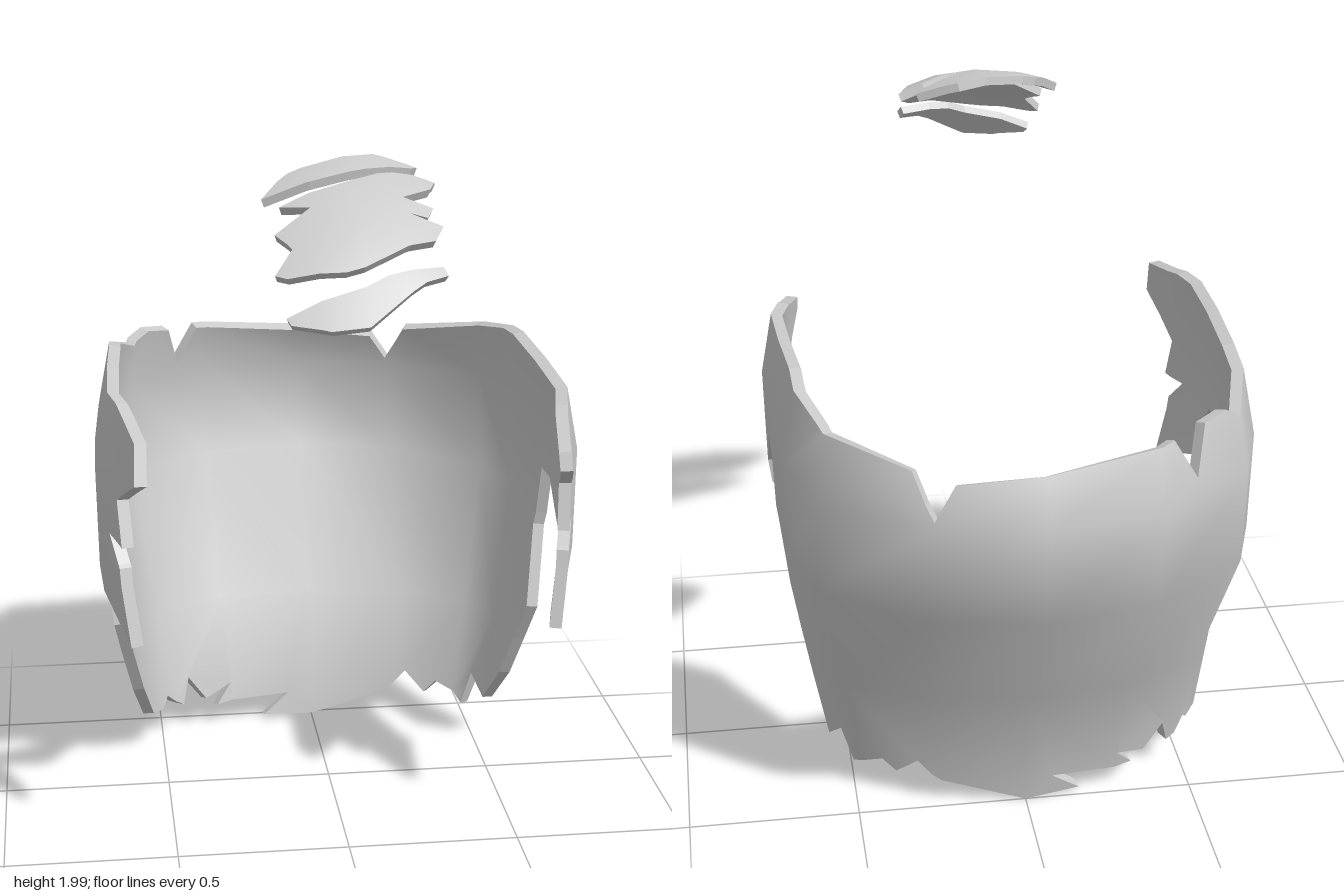
import * as THREE from 'three';

const material = new THREE.MeshStandardMaterial({ color: 0xcccccc });
const lerp = THREE.MathUtils.lerp;

// Keep the part of a polygon on one side of a grid line (axis 0 = u, 1 = v)
function clip(poly, axis, limit, sign) {
  const out = [];
  poly.forEach((a, i) => {
    const b = poly[(i + 1) % poly.length];
    const da = (a[axis] - limit) * sign, db = (b[axis] - limit) * sign;
    if (da >= 0) out.push(a);
    if (da * db < 0) {
      const k = da / (da - db);
      out.push([lerp(a[0], b[0], k), lerp(a[1], b[1], k)]);
    }
  });
  return out;
}

// Thick curved plate: a counter-clockwise (u, v) outline laid on a surface, cut along its grid
function plate(name, outline, surface, us, vs, thickness, stepU, stepV) {
  const pos = [], nor = [];
  const normalAt = (u, v) => {
    const u0 = Math.max(us[0], u - stepU), u1 = Math.min(us.at(-1), u + stepU);
    const v0 = Math.max(vs[0], v - stepV), v1 = Math.min(vs.at(-1), v + stepV);
    const du = surface(u1, v).sub(surface(u0, v));
    return surface(u, v1).sub(surface(u, v0)).cross(du).normalize();
  };
  const sample = ([u, v]) => {
    const n = normalAt(u, v), outer = surface(u, v);
    return { n, outer, inner: outer.clone().addScaledVector(n, -thickness) };
  };
  const put = (p, n, s = 1) => { pos.push(p.x, p.y, p.z); nor.push(n.x * s, n.y * s, n.z * s); };

  // outer and inner faces, cell by cell
  for (let i = 0; i < us.length - 1; i++) for (let j = 0; j < vs.length - 1; j++) {
    let cell = clip(clip(outline, 0, us[i], 1), 0, us[i + 1], -1);
    cell = clip(clip(cell, 1, vs[j], 1), 1, vs[j + 1], -1);
    if (cell.length < 3) continue;
    const flat = cell.map(p => new THREE.Vector2(...p));
    for (let [a, b, c] of THREE.ShapeUtils.triangulateShape(flat, [])) {
      const area = flat[b].clone().sub(flat[a]).cross(flat[c].clone().sub(flat[a]));
      if (Math.abs(area) < 1e-9) continue;
      if (area < 0) [b, c] = [c, b];
      const [A, B, C] = [a, b, c].map(k => sample([flat[k].x, flat[k].y]));
      [A, C, B].forEach(s => put(s.outer, s.n));
      [A, B, C].forEach(s => put(s.inner, s.n, -1));
    }
  }

  // broken rim, split wherever the outline crosses the grid
  outline.forEach((a, i) => {
    const b = outline[(i + 1) % outline.length], cuts = [0, 1];
    [us, vs].forEach((lines, axis) => lines.forEach(l => {
      const k = (l - a[axis]) / (b[axis] - a[axis]);
      if (k > 0 && k < 1) cuts.push(k);
    }));
    cuts.sort((p, q) => p - q);
    const pts = cuts.map(k => sample([lerp(a[0], b[0], k), lerp(a[1], b[1], k)]));
    for (let k = 0; k < pts.length - 1; k++) {
      const p = pts[k], q = pts[k + 1];
      const n = q.outer.clone().sub(p.outer).cross(q.inner.clone().sub(q.outer)).normalize();
      [p.outer, q.outer, q.inner, p.outer, q.inner, p.inner].forEach(v => put(v, n));
    }
  });

  const geo = new THREE.BufferGeometry();
  geo.setAttribute('position', new THREE.Float32BufferAttribute(pos, 3));
  geo.setAttribute('normal', new THREE.Float32BufferAttribute(nor, 3));
  const mesh = new THREE.Mesh(geo, material);
  mesh.name = name;
  return mesh;
}

// Index and fraction of a value inside a list of ascending breaks
function locate(list, value) {
  let i = 0;
  while (i < list.length - 2 && value > list[i + 1]) i++;
  return [i, (value - list[i]) / (list[i + 1] - list[i])];
}

// Half cross-sections of the shell as [x, z], from centre back to front tip
const levels = [0, 0.4, 0.82, 1.12, 1.36];
const sections = [
  [[0, -.5], [.27, -.46], [.46, -.36], [.55, -.24], [.58, 0], [.58, .25], [.56, .42], [.54, .63]],
  [[0, -.57], [.3, -.54], [.52, -.43], [.6, -.27], [.64, 0], [.64, .25], [.61, .42], [.57, .63]],
  [[0, -.86], [.32, -.8], [.6, -.59], [.67, -.38], [.69, 0], [.695, .25], [.645, .42], [.59, .63]],
  [[0, -.9], [.32, -.84], [.6, -.62], [.675, -.39], [.695, 0], [.7, .25], [.645, .42], [.605, .63]],
  [[0, -.78], [.32, -.74], [.56, -.58], [.63, -.38], [.65, 0], [.655, .25], [.62, .42], [.58, .63]],
];
const columns = [-7, -6, -5, -4, -3, -2, -1, 0, 1, 2, 3, 4, 5, 6, 7];

function shellSurface(t, y) {
  const [r, k] = locate(levels, y);
  const c = Math.min(6, Math.floor(Math.abs(t))), f = Math.abs(t) - c;
  const at = (row, axis) => lerp(sections[row][c][axis], sections[row][c + 1][axis], f);
  return new THREE.Vector3(
    Math.sign(t) * lerp(at(r, 0), at(r + 1, 0), k), y, lerp(at(r, 1), at(r + 1, 1), k));
}

// Position along the section where the shell reaches a given x or z
function solve(axis, value, y, max) {
  let lo = 0, hi = max;
  for (let i = 0; i < 30; i++) {
    const mid = (lo + hi) / 2;
    if (shellSurface(mid, y)[axis] < value) lo = mid; else hi = mid;
  }
  return (lo + hi) / 2;
}
const backPoint = ([x, y]) => [Math.sign(x) * solve('x', Math.abs(x), y, 3), y];
const sidePoint = side => ([z, y]) => [side * solve('z', z, y, 7), y];

function buildShell() {
  // jagged lower edge [x, y]
  const bottom = [[-.53, .12], [-.51, .15], [-.45, .1], [-.43, .18], [-.37, .1], [-.28, .13],
    [-.33, .07], [-.08, .08], [-.165, .015], [0, .003], [.25, .08], [.32, .15], [.38, .09],
    [.42, .13], [.5, .08], [.535, .19]];
  // side edge with the ear opening and torn cheek flap [z, y]
  const side = [[-.25, .13], [-.14, .26], [-.01, .53], [-.07, .78], [-.02, .98], [.08, .98],
    [.25, .82], [.25, .74], [.48, .65], [.43, .87], [.35, .95], [.46, .94], [.42, 1.07], [.62, 1.17]];
  const leftTop = [[.6, 1.22], [.38, 1.29], [0, 1.33], [-.25, 1.35]];
  const rightTop = [[.58, 1.28], [.35, 1.33], [0, 1.345], [-.25, 1.345]];
  // upper back edge with its notches [x, y]
  const top = [[.58, 1.31], [.35, 1.26], [.3, 1.14], [.24, 1.23], [-.36, 1.29], [-.43, 1.17],
    [-.46, 1.3], [-.53, 1.31], [-.58, 1.27]];
  const outline = [
    ...bottom.map(backPoint),
    ...[...side, ...leftTop].map(sidePoint(1)),
    ...top.map(backPoint),
    ...[...side, ...rightTop].reverse().map(sidePoint(-1)),
  ];
  return plate('brokenShell', outline, shellSurface, columns, levels, 0.035, 0.5, 0.12);
}

// Domed crown on which the loose shards lie
const crownZ = [.24, .42, .56, .68, .8, .92];
const crownY = [2.005, 1.985, 1.945, 1.87, 1.775, 1.62];
function crownSurface(x, z) {
  const [i, k] = locate(crownZ, z);
  return new THREE.Vector3(x, lerp(crownY[i], crownY[i + 1], k) - 0.9 * x * x, z);
}

// Shard outlines seen from above [x, z]
const shards = {
  rearShard: [[-.24, .48], [-.16, .38], [.09, .26], [.21, .29], [.19, .32], [.05, .42], [0, .44], [-.11, .47]],
  middleShard: [[-.2, .56], [0, .49], [.08, .44], [.18, .395], [.245, .39], [.22, .46], [.13, .56],
    [.21, .57], [.19, .61], [.14, .61], [.23, .62], [.2, .68], [.13, .71], [0, .78], [-.05, .79],
    [-.2, .77], [-.23, .75], [-.18, .7], [-.22, .64], [-.12, .59]],
  frontShard: [[-.21, .845], [0, .82], [.21, .745], [.22, .765], [0, .89], [-.1, .89], [-.2, .86]],
};

export function createModel() {
  const group = new THREE.Group();
  group.name = 'brokenHelmet';
  group.add(buildShell());
  for (const [name, outline] of Object.entries(shards)) {
    group.add(plate(name, outline, crownSurface, [-.25, -.12, 0, .12, .25], crownZ, 0.025, 0.08, 0.06));
  }
  return group;
}
